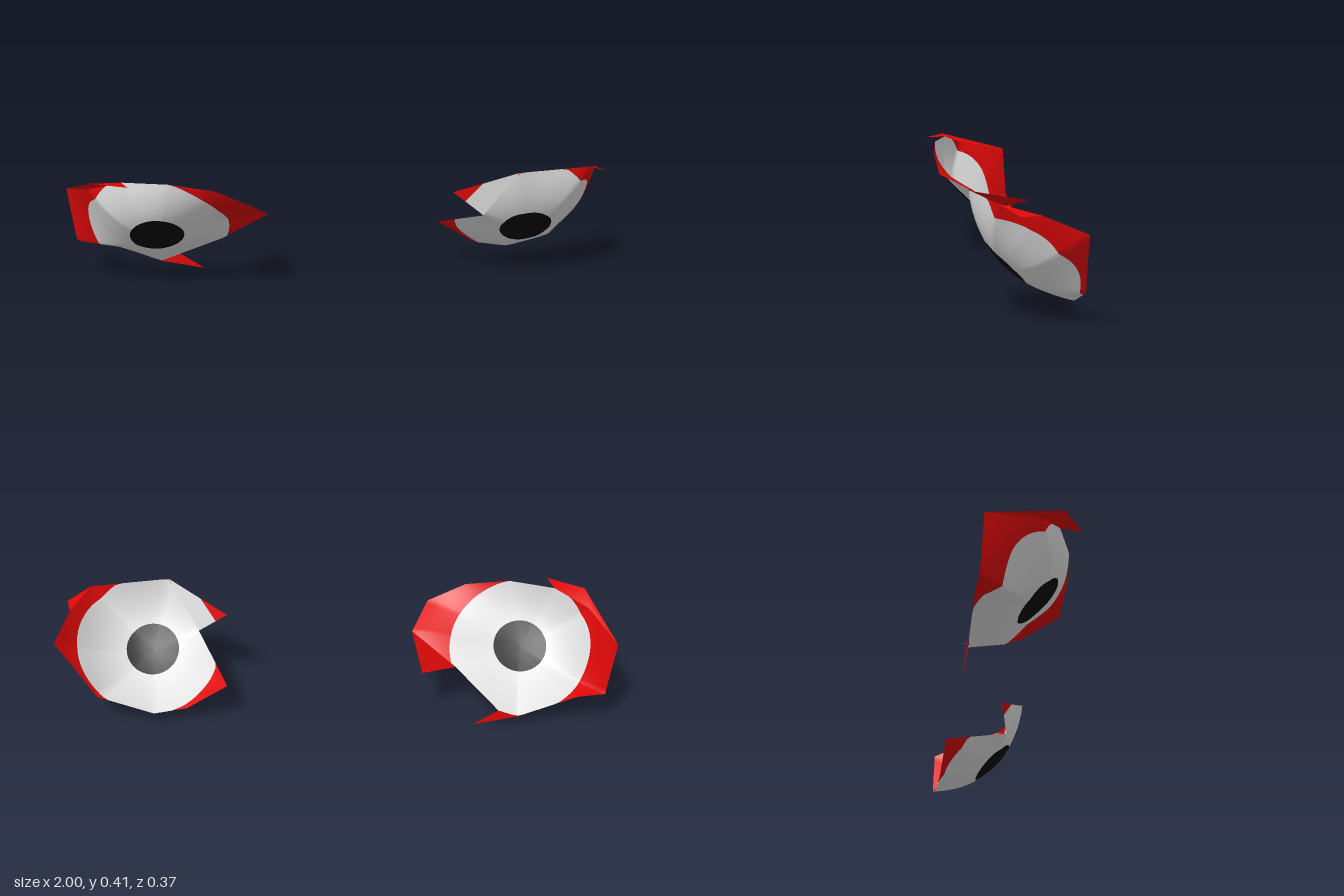
import * as THREE from 'three';

const mat = (name, color) => {
  const m = new THREE.MeshStandardMaterial({ color, side: THREE.DoubleSide });
  m.name = name;
  return m;
};

// The dishes tilt 45 degrees: U and V span the dish plane, N points forward and down
const U = new THREE.Vector3(1, 0, 0);
const V = new THREE.Vector3(0, Math.SQRT1_2, Math.SQRT1_2);
const N = new THREE.Vector3(0, -Math.SQRT1_2, Math.SQRT1_2);
const PUPIL = 0.097, STEPS = 10;

function meshFrom(name, positions, index, material) {
  const g = new THREE.BufferGeometry();
  g.setAttribute('position', new THREE.Float32BufferAttribute(positions, 3));
  g.setIndex(index);
  g.computeVertexNormals();
  const m = new THREE.Mesh(g, material);
  m.name = name;
  return m;
}

// A flat or folded piece: a triangle fan around its first corner
function flap(name, corners, material) {
  const idx = [];
  for (let i = 1; i < corners.length - 1; i++) idx.push(0, i, i + 1);
  return meshFrom(name, corners.flat(), idx, material);
}

// A curved sheet between two fractions of every ray from the centre to the rim
function band(name, rays, from, to, rows, centre, bowl, material) {
  const pos = [], idx = [], n = rays.length;
  for (let r = 0; r <= rows; r++) {
    for (const ray of rays) {
      const t = ray[from] + (ray[to] - ray[from]) * r / rows;
      // smooth bowl, eased onto the exact rim
      const w = bowl(ray.u * t, ray.v * t) + (ray.w - bowl(ray.u, ray.v)) * t ** 3;
      const p = centre.clone().addScaledVector(U, ray.u * t)
        .addScaledVector(V, ray.v * t).addScaledVector(N, w);
      pos.push(p.x, p.y, p.z);
    }
  }
  for (let r = 0; r < rows; r++) {
    for (let i = 0; i < n; i++) {
      const j = (i + 1) % n;
      if (rays[i][to] - rays[i][from] + rays[j][to] - rays[j][from] < 1e-4) continue;
      const a = r * n + i, b = r * n + j;
      idx.push(a, a + n, b, b, a + n, b + n);
    }
  }
  return meshFrom(name, pos, idx, material);
}

// One eye: rim points run anticlockwise when seen from outside the bulge
function eye(name, c, rim, white, bowl, mats) {
  const group = new THREE.Group();
  group.name = name;
  const centre = new THREE.Vector3(...c);
  const rays = [];
  rim.forEach((p, i) => {
    const a = new THREE.Vector3(...p), b = new THREE.Vector3(...rim[(i + 1) % rim.length]);
    for (let k = 0; k < STEPS; k++) {
      const d = a.clone().lerp(b, k / STEPS).sub(centre);
      const u = d.dot(U), v = d.dot(V), R = Math.hypot(u, v);
      // distance along the ray to the edge of the white circle
      const h = (u * white.u + v * white.v) / R;
      const reach = h + Math.sqrt(h * h - white.u ** 2 - white.v ** 2 + white.radius ** 2);
      rays.push({ u, v, w: d.dot(N), zero: 0, pupil: PUPIL / R, white: Math.min(1, reach / R), rim: 1 });
    }
  });
  group.add(
    band('pupil', rays, 'zero', 'pupil', 3, centre, bowl, mats.black),
    band('eyeWhite', rays, 'pupil', 'white', 8, centre, bowl, mats.white),
    band('redRim', rays, 'white', 'rim', 4, centre, bowl, mats.red));
  return group;
}

export function createModel() {
  const model = new THREE.Group();
  model.name = 'eyePair';
  const mats = {
    red: mat('red', 0xe00808),
    white: mat('white', 0xe2e2e2),
    black: mat('black', 0x060606),
  };

  // Left eye with a notch on its inner side
  const notch = [0.51, 0.235, 0.08], top = [0.62, 0.41, 0.16];
  const corner = [0.9, 0.41, 0.1], side = [0.96, 0.38, -0.03];
  const left = eye('leftEye', [0.68, 0.168, 0.052], [
    notch, [0.39, 0.15, -0.17], [0.54, 0.06, -0.18], [0.66, 0.04, -0.185],
    [0.86, 0.11, -0.185], [1.0, 0.325, -0.17], side, corner, top,
  ], { u: 0, v: -0.005, radius: 0.257 },
  (u, v) => -(1.65 * u * u + 1.8 * u ** 3 + 1.25 * v * v), mats);

  // Pointed inner corner with a red tip, and the small outer fold
  const tipA = [0.5, 0.36, 0.1], tipB = [0.444, 0.286, 0.062];
  left.add(
    flap('innerCorner', [notch, top, tipA, tipB], mats.white),
    flap('innerTip', [tipB, tipA, [0.4, 0.32, 0.05]], mats.red),
    flap('outerFold', [corner, side, [0.98, 0.38, 0.04]], mats.red));

  // Right eye with a broad, flared inner wing
  const hinge = [-0.8, 0.41, 0.1], fold = [-0.92, 0.37, 0.02], outer = [-1.0, 0.33, -0.17];
  const low = [-0.66, 0.035, -0.185], lowInner = [-0.59, 0.06, -0.185];
  const wingRoot = [-0.44, 0.155, -0.04], wingEnd = [-0.28, 0.26, 0.04];
  const right = eye('rightEye', [-0.68, 0.19, 0.05], [
    hinge, fold, outer, [-0.97, 0.13, -0.18], [-0.87, 0.12, -0.185], low, lowInner,
    wingRoot, wingEnd, [-0.34, 0.32, 0.165], [-0.48, 0.385, 0.175], [-0.64, 0.41, 0.155],
  ], { u: 0.01, v: -0.02, radius: 0.252 },
  (u, v) => -(1.3 * u * u - 2.4 * u ** 3 + 1.1 * v * v), mats);

  // Folded flap at the upper outer corner, the wing tip and the small lower spike
  right.add(
    flap('cornerFlap', [[-0.91, 0.41, 0.1], outer, fold, hinge, [-0.78, 0.41, 0.18]], mats.red),
    flap('wingTip', [wingRoot, [-0.31, 0.215, -0.18], wingEnd], mats.red),
    flap('lowerSpike', [low, [-0.5, 0, -0.185], lowInner], mats.red));
  model.add(left, right);
  return model;
}
